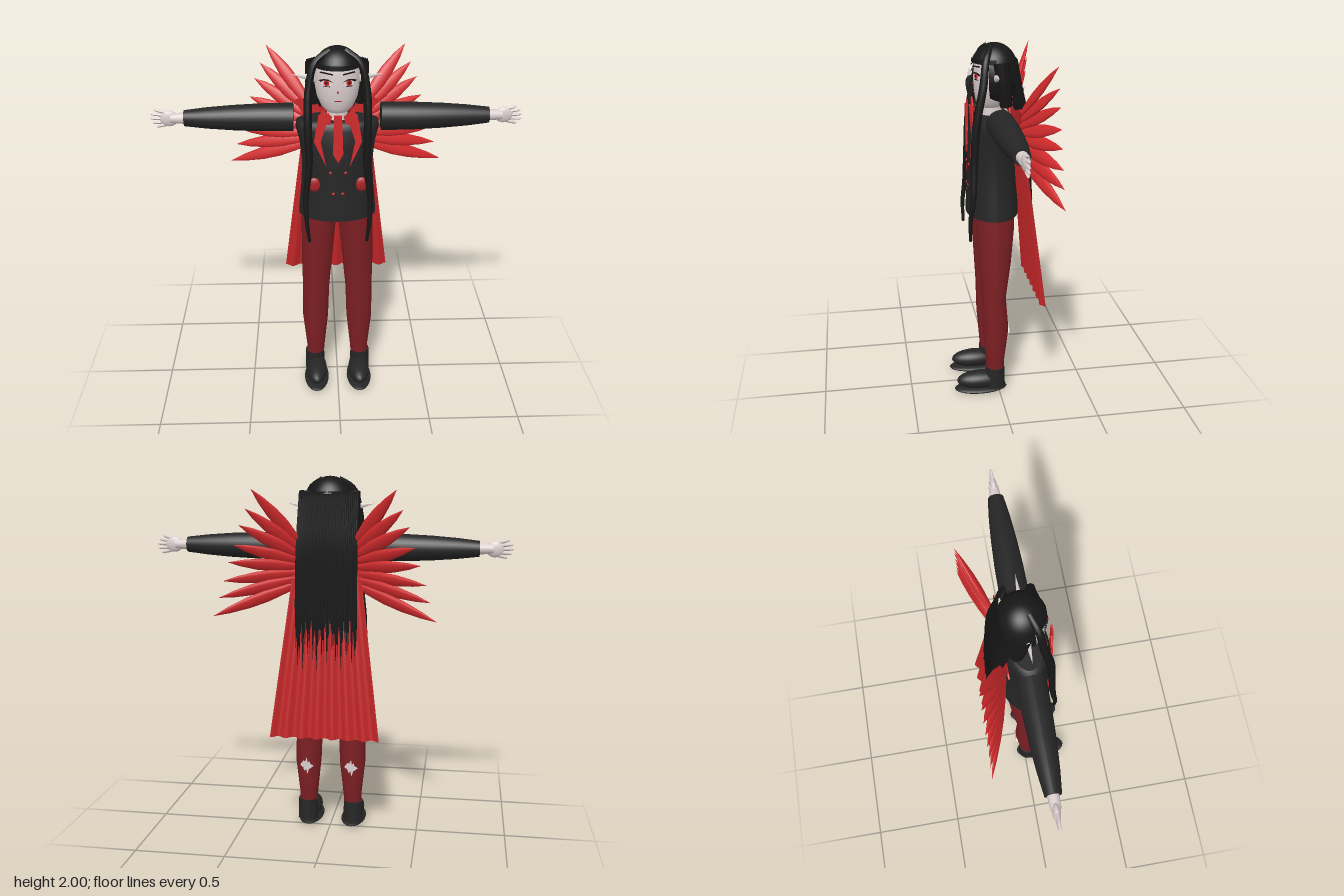
import * as THREE from 'three';

const mat = (name, color, side = THREE.FrontSide) => {
  const m = new THREE.MeshStandardMaterial({ color, side });
  m.name = name;
  return m;
};

// Closed skin over elliptical sections [y, rx, rz, cx, cz], listed upwards
function loft(sections, n = 28) {
  const pos = [], idx = [], row = n + 1;
  const ring = ([y, rx, rz, cx = 0, cz = 0]) => {
    for (let i = 0; i <= n; i++) {
      const a = (i % n) / n * Math.PI * 2;
      pos.push(cx + rx * Math.cos(a), y, cz + rz * Math.sin(a));
    }
  };
  sections.forEach(ring);
  for (let j = 0; j < sections.length - 1; j++) for (let i = 0; i < n; i++) {
    const a = j * row + i, c = a + row;
    idx.push(a, c, a + 1, a + 1, c, c + 1);
  }
  [sections[0], sections[sections.length - 1]].forEach((s, top) => {
    const start = pos.length / 3;
    ring(s);
    pos.push(s[3] || 0, s[0], s[4] || 0);
    for (let i = 0; i < n; i++) {
      if (top) idx.push(start + row, start + i + 1, start + i);
      else idx.push(start + row, start + i, start + i + 1);
    }
  });
  const g = new THREE.BufferGeometry();
  g.setAttribute('position', new THREE.Float32BufferAttribute(pos, 3));
  g.setIndex(idx);
  g.computeVertexNormals();
  return g;
}

// Tube whose radius follows a rule along its length
function taperTube(points, radiusAt, segs = 24, sides = 6) {
  const curve = new THREE.CatmullRomCurve3(points.map(p => new THREE.Vector3(...p)));
  const g = new THREE.TubeGeometry(curve, segs, 1, sides);
  const p = g.attributes.position, v = new THREE.Vector3();
  for (let i = 0; i < p.count; i++) {
    const t = Math.floor(i / (sides + 1)) / segs, c = curve.getPointAt(t);
    v.fromBufferAttribute(p, i).sub(c).multiplyScalar(radiusAt(t)).add(c);
    p.setXYZ(i, v.x, v.y, v.z);
  }
  g.computeVertexNormals();
  return g;
}

const plate = (pts, depth = 0.008) => new THREE.ExtrudeGeometry(
  new THREE.Shape(pts.map(p => new THREE.Vector2(...p))), { depth, bevelEnabled: false });

export function createModel() {
  const root = new THREE.Group();
  const suit = mat('suit black', 0x252525), hair = mat('hair black', 0x171717);
  const red = mat('feather red', 0xd22a2c), capeRed = mat('cape red', 0xc42628, THREE.DoubleSide);
  const pants = mat('trouser dark red', 0x7c1f23), skin = mat('pale skin', 0xd9cdcc);
  const button = mat('button red', 0xa82225), white = mat('eye white', 0xf0eaea);
  const add = (name, geo, material, x = 0, y = 0, z = 0, parent = root) => {
    const m = new THREE.Mesh(geo, material);
    m.name = name;
    m.position.set(x, y, z);
    parent.add(m);
    return m;
  };
  const ball = (name, material, r, p) => {
    const m = add(name, new THREE.SphereGeometry(1, 24, 16), material, ...p);
    m.scale.set(...r);
    return m;
  };

  // Jacket, neck and collar
  add('jacket', loft([[1.08, 0.21, 0.143, 0, 0.02], [1.15, 0.205, 0.14, 0, 0.02], [1.25, 0.195, 0.132, 0, 0.022],
    [1.38, 0.188, 0.127, 0, 0.025], [1.5, 0.2, 0.123, 0, 0.025], [1.58, 0.22, 0.115, 0, 0.02],
    [1.615, 0.215, 0.105, 0, 0.02], [1.625, 0.18, 0.09, 0, 0.02]], 36), suit);
  add('neck', new THREE.CylinderGeometry(0.05, 0.06, 0.12, 20), skin, 0, 1.65, 0.02);
  add('tie', plate([[-0.02, 1.68], [0.02, 1.68], [0.027, 1.47], [0, 1.42], [-0.027, 1.47]]), red, 0, 0, 0.152);

  // Head
  add('head', loft([[1.655, 0.02, 0.02, 0, 0.03], [1.668, 0.058, 0.06, 0, 0.025], [1.695, 0.085, 0.085, 0, 0.018],
    [1.745, 0.107, 0.1, 0, 0.012], [1.8, 0.116, 0.105, 0, 0.01], [1.88, 0.117, 0.105, 0, 0.008],
    [1.93, 0.1, 0.095, 0, 0.005], [1.97, 0.06, 0.06]]), skin);
  add('nose', new THREE.SphereGeometry(0.006, 8, 6), button, 0, 1.79, 0.116);
  add('mouth', new THREE.BoxGeometry(0.035, 0.004, 0.006), button, 0, 1.742, 0.112);

  // Hair cap: crown, then the part wrapping the sides and back
  const crown = add('hairCrown', new THREE.SphereGeometry(1, 32, 12, 0, Math.PI * 2, 0, 1.21), hair, 0, 1.86, 0.005);
  crown.scale.set(0.128, 0.14, 0.125);
  const nape = add('hairNape', new THREE.SphereGeometry(1, 32, 20, Math.PI - 0.4, Math.PI + 0.8), hair, 0, 1.83, 0.005);
  nape.scale.set(0.132, 0.165, 0.122);
  add('fringe', new THREE.CylinderGeometry(0.119, 0.121, 0.025, 28, 1, true, -1.5, 3), hair, 0, 1.915, 0.004);

  // Long back hair: overlapping strands with ragged ends
  const backHair = new THREE.Group();
  backHair.name = 'backHair';
  root.add(backHair);
  const count = 35;
  for (let i = 0; i < count; i++) {
    const t = i / (count - 1) * 2 - 1, side = t ** 4;
    const end = 0.98 + ((i * 7) % 11) * 0.021 - 0.03 * t * t + (i % 2) * 0.05;
    const x = 0.152 * t;
    const z = -0.188 + side * 0.015;
    add('hairStrand', taperTube([[x, 1.92, -0.1 + side * 0.05], [x * 1.02, 1.78, -0.125 + side * 0.035],
      [x * 1.03, 1.65, -0.15 + side * 0.02], [x * 1.05, 1.35, -0.17 + side * 0.015], [x * 1.06, end, z]],
    s => s < 0.7 ? 0.009 : 0.009 * (1 - (s - 0.7) / 0.3) + 0.0008, 16, 5), hair, 0, 0, 0, backHair);
  }

  // Cape, pleated more strongly towards the hem
  const capeGeo = new THREE.PlaneGeometry(2, 1, 56, 10), cp = capeGeo.attributes.position;
  for (let i = 0; i < cp.count; i++) {
    const u = cp.getX(i), d = 0.5 - cp.getY(i);
    cp.setXYZ(i, u * (0.165 + 0.135 * d), 1.64 - 1.04 * d,
      -0.105 - 0.113 * d + (0.003 + 0.011 * d) * Math.cos(u * Math.PI * 7));
  }
  capeGeo.computeVertexNormals();
  add('cape', capeGeo, capeRed);

  const feathers = [[0.375, 1.94], [0.41, 1.84], [0.445, 1.755], [0.475, 1.65],
    [0.505, 1.56], [0.535, 1.46], [0.56, 1.37], [0.595, 1.27]];
  const featherGeo = new THREE.LatheGeometry([[0.006, 0], [0.022, 0.15], [0.034, 0.4], [0.032, 0.6],
    [0.019, 0.82], [0, 1]].map(p => new THREE.Vector2(...p)), 12);

  for (const s of [-1, 1]) {
    const at = pts => pts.map(([x, ...r]) => [x * s, ...r]);

    // Wing feathers fan out from the shoulder blade
    feathers.forEach(([x, y], i) => {
      const from = new THREE.Vector3(s * 0.13, 1.63 - i * 0.027, -0.1);
      const dir = new THREE.Vector3(s * x, y, -0.253).sub(from);
      const f = add('wingFeather', featherGeo, red, from.x, from.y, from.z);
      f.scale.set(1.05, dir.length(), 0.45);
      f.quaternion.setFromUnitVectors(new THREE.Vector3(0, 1, 0), dir.normalize());
    });

    // Lapels, raised cape collar and buttons
    const lapel = add('lapel', plate(at([[0.045, 1.69], [0.1, 1.68], [0.125, 1.53], [0.06, 1.39], [0.09, 1.53], [0.065, 1.61]])),
      red, 0, 0, 0.145);
    lapel.rotation.y = s * 0.12;
    add('collarBand', plate(at([[0.03, 1.66], [0.085, 1.7], [0.1, 1.63], [0.045, 1.6]])), red, 0, 0, 0.11);
    add('capeCollar', plate(at([[0.08, 1.6], [0.18, 1.6], [0.225, 1.68], [0.2, 1.69], [0.1, 1.66]])), capeRed, 0, 0, -0.1);
    ball('pocketButton', button, [0.036, 0.04, 0.014], [s * 0.125, 1.285, 0.128]);
    ball('smallButton', button, [0.009, 0.009, 0.006], [s * 0.025, 1.24, 0.153]);
    ball('smallButton', button, [0.009, 0.009, 0.006], [s * 0.04, 1.36, 0.15]);

    // Sleeve and hand
    const arm = new THREE.Group();
    arm.name = s > 0 ? 'leftArm' : 'rightArm';
    arm.position.set(0, 1.624, 0.01);
    arm.rotation.z = -s * Math.PI / 2;
    root.add(arm);
    add('sleeve', loft([[0.23, 0.075, 0.075], [0.4, 0.073, 0.073], [0.55, 0.066, 0.066], [0.68, 0.056, 0.056],
      [0.8, 0.042, 0.042]]), suit, 0, 0, 0, arm);
    add('wrist', new THREE.CylinderGeometry(0.026, 0.03, 0.08, 16), skin, 0, 0.83, 0, arm);
    add('palm', new THREE.SphereGeometry(1, 20, 14), skin, 0, 0.88, 0, arm).scale.set(0.044, 0.048, 0.02);
    for (let k = 0; k < 5; k++) {
      const o = (k - 2) * 0.016, len = [0.945, 0.967, 0.978, 0.975, 0.955][k];
      add('finger', taperTube([[o, 0.89, 0], [o * 1.3, 0.93, 0], [o * 1.5, len, 0]],
        t => 0.0095 * Math.sqrt(Math.max(0.02, 1 - t ** 4)), 10, 8), skin, 0, 0, 0, arm);
    }

    // Trouser leg, calf tear, boot
    add('trouserLeg', loft([[0.14, 0.05, 0.05, s * 0.13, 0.022], [0.2, 0.052, 0.053, s * 0.127, 0.022],
      [0.4, 0.073, 0.073, s * 0.127, 0.018], [0.6, 0.075, 0.068, s * 0.122, 0.028], [0.8, 0.086, 0.088, s * 0.114, 0.02],
      [1.0, 0.094, 0.104, s * 0.104, 0.018], [1.14, 0.094, 0.108, s * 0.1, 0.018]]), pants);
    const tear = [[-0.038, 0.38], [-0.02, 0.39], [-0.015, 0.41], [-0.005, 0.4], [0, 0.43], [0.01, 0.405], [0.02, 0.41],
      [0.038, 0.385], [0.02, 0.37], [0.015, 0.35], [0.004, 0.36], [-0.003, 0.33], [-0.012, 0.36]];
    add('calfTear', plate(tear), skin, s * 0.127, 0, -0.057);
    add('bootShaft', new THREE.CylinderGeometry(0.054, 0.058, 0.12, 20), suit, s * 0.133, 0.1, 0.022);
    ball('boot', suit, [0.06, 0.052, 0.138], [s * 0.125, 0.077, 0.105]);
    ball('bootSole', suit, [0.071, 0.02, 0.152], [s * 0.125, 0.024, 0.105]);

    // Pointed ear
    const ear = add('ear', new THREE.ConeGeometry(0.026, 0.13, 14), skin, s * 0.17, 1.845, 0.015);
    ear.rotation.z = -s * 1.42;
    ear.scale.z = 0.6;

    // Eye, lash and brow
    const eye = new THREE.Group();
    eye.name = 'eye';
    eye.position.set(s * 0.057, 1.838, 0.108);
    eye.rotation.y = s * 0.42;
    root.add(eye);
    add('eyeWhite', new THREE.CircleGeometry(1, 20), white, 0, 0, 0, eye).scale.set(0.03, 0.017, 1);
    add('iris', new THREE.CircleGeometry(0.016, 20), red, 0, 0, 0.002, eye);
    add('pupil', new THREE.CircleGeometry(0.007, 14), hair, 0, 0, 0.004, eye);
    add('upperLash', plate(at([[-0.034, 0.008], [-0.01, 0.02], [0.015, 0.02], [0.042, 0.012], [0.03, 0.004],
      [0.012, 0.014], [-0.01, 0.014]]), 0.003), hair, 0, 0, 0.002, eye);
    add('lowerLash', new THREE.BoxGeometry(0.036, 0.003, 0.003), hair, 0, -0.018, 0, eye);
    add('brow', plate(at([[-0.036, 0.05], [0.03, 0.057], [0.036, 0.05], [-0.034, 0.044]]), 0.003), hair, 0, 0, 0, eye);

    // Side hair over the ear and the long front lock
    add('sideHair', taperTube(at([[0.135, 1.92, -0.01], [0.14, 1.8, -0.025], [0.125, 1.69, -0.04]]),
      t => 0.042 - 0.008 * t, 12, 10), hair).scale.x = 0.93;
    add('frontLock', taperTube(at([[0.04, 1.985, 0.03], [0.115, 1.93, 0.065], [0.148, 1.8, 0.085], [0.155, 1.62, 0.12],
      [0.152, 1.4, 0.135], [0.172, 1.2, 0.145], [0.168, 1.08, 0.16], [0.155, 0.96, 0.16]]),
    t => 0.008 + 0.014 * Math.sin(Math.PI * Math.min(1, t * 0.8 + 0.2)), 48, 8), hair);
  }
  return root;
}
